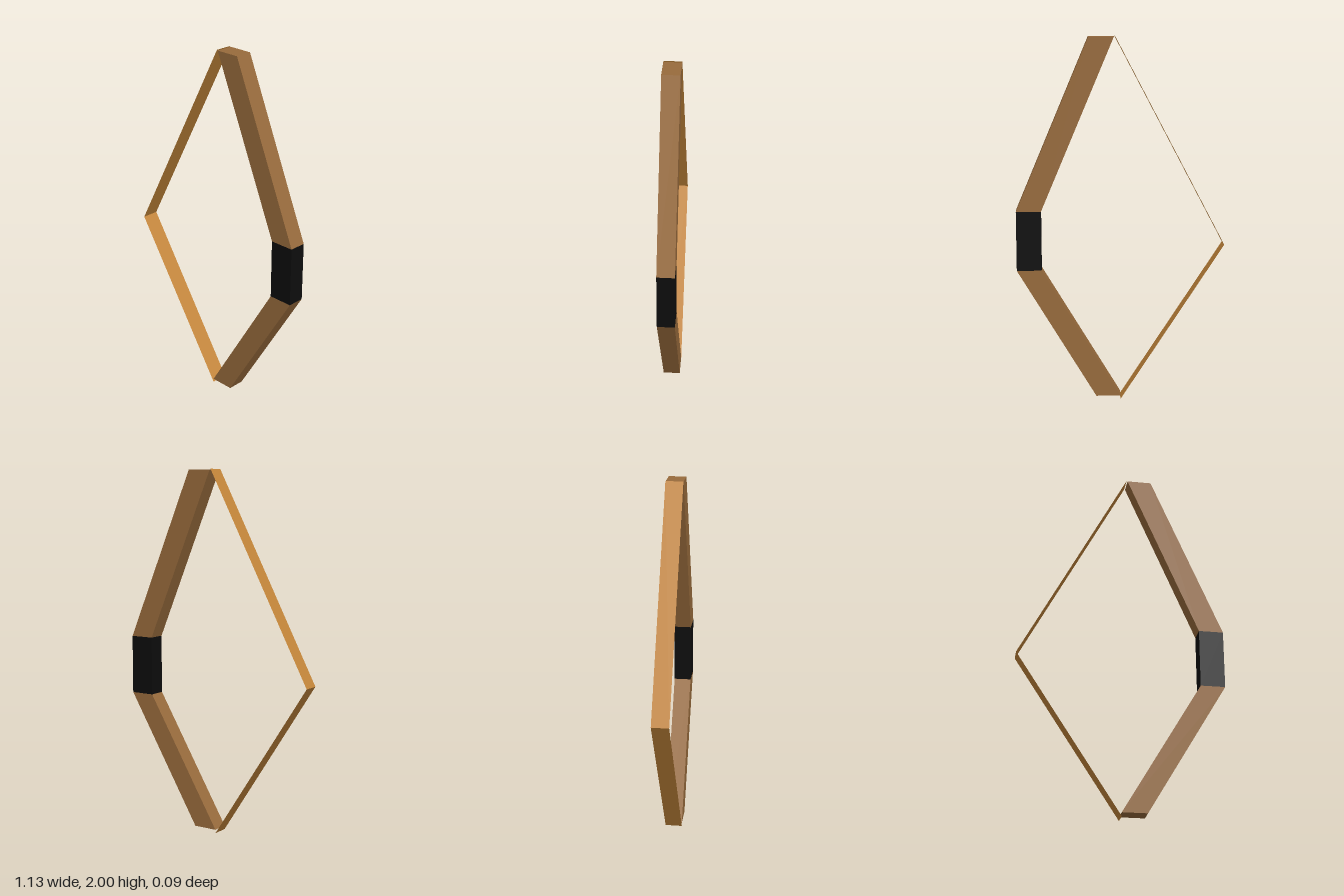
import * as THREE from 'three';

const DEPTH = 0.094;

export function createModel() {
  const bow = new THREE.Group();
  bow.name = 'bow';

  const wood = new THREE.MeshStandardMaterial({ color: 0x986b3c });
  wood.name = 'brown wood';
  const wrap = new THREE.MeshStandardMaterial({ color: 0x0d0d0d });
  wrap.name = 'black wrap';
  const cord = new THREE.MeshStandardMaterial({ color: 0xc4863a, side: THREE.DoubleSide });
  cord.name = 'tan cord';

  // Four-sided bar of constant horizontal width, from its lower to its upper left corner
  function bar(name, x0, y0, x1, y1, material) {
    const w = 0.135;
    const shape = new THREE.Shape([
      new THREE.Vector2(x0, y0),
      new THREE.Vector2(x0 + w, y0),
      new THREE.Vector2(x1 + w, y1),
      new THREE.Vector2(x1, y1),
    ]);
    const geometry = new THREE.ExtrudeGeometry(shape, { depth: DEPTH, bevelEnabled: false });
    geometry.translate(0, 0, -DEPTH / 2);
    const mesh = new THREE.Mesh(geometry, material);
    mesh.name = name;
    bow.add(mesh);
  }

  // Flat ribbon between two points in the xy plane
  function ribbon(name, x0, y0, x1, y1) {
    const dx = x1 - x0, dy = y1 - y0;
    const geometry = new THREE.PlaneGeometry(DEPTH, Math.hypot(dx, dy));
    geometry.rotateY(Math.PI / 2);
    geometry.rotateZ(Math.atan2(-dx, dy));
    geometry.translate((x0 + x1) / 2, (y0 + y1) / 2, 0);
    const mesh = new THREE.Mesh(geometry, cord);
    mesh.name = name;
    bow.add(mesh);
  }

  // Limbs and grip
  bar('lowerLimb', 0.0, 0.02, 0.43, 0.74, wood);
  bar('grip', 0.43, 0.74, 0.43, 1.065, wrap);
  bar('upperLimb', 0.43, 1.065, 0.035, 1.997, wood);

  // Drawn string
  ribbon('lowerString', 0.0, 0.0, -0.567, 0.872);
  ribbon('upperString', -0.567, 0.872, 0.03, 2.0);

  return bow;
}
